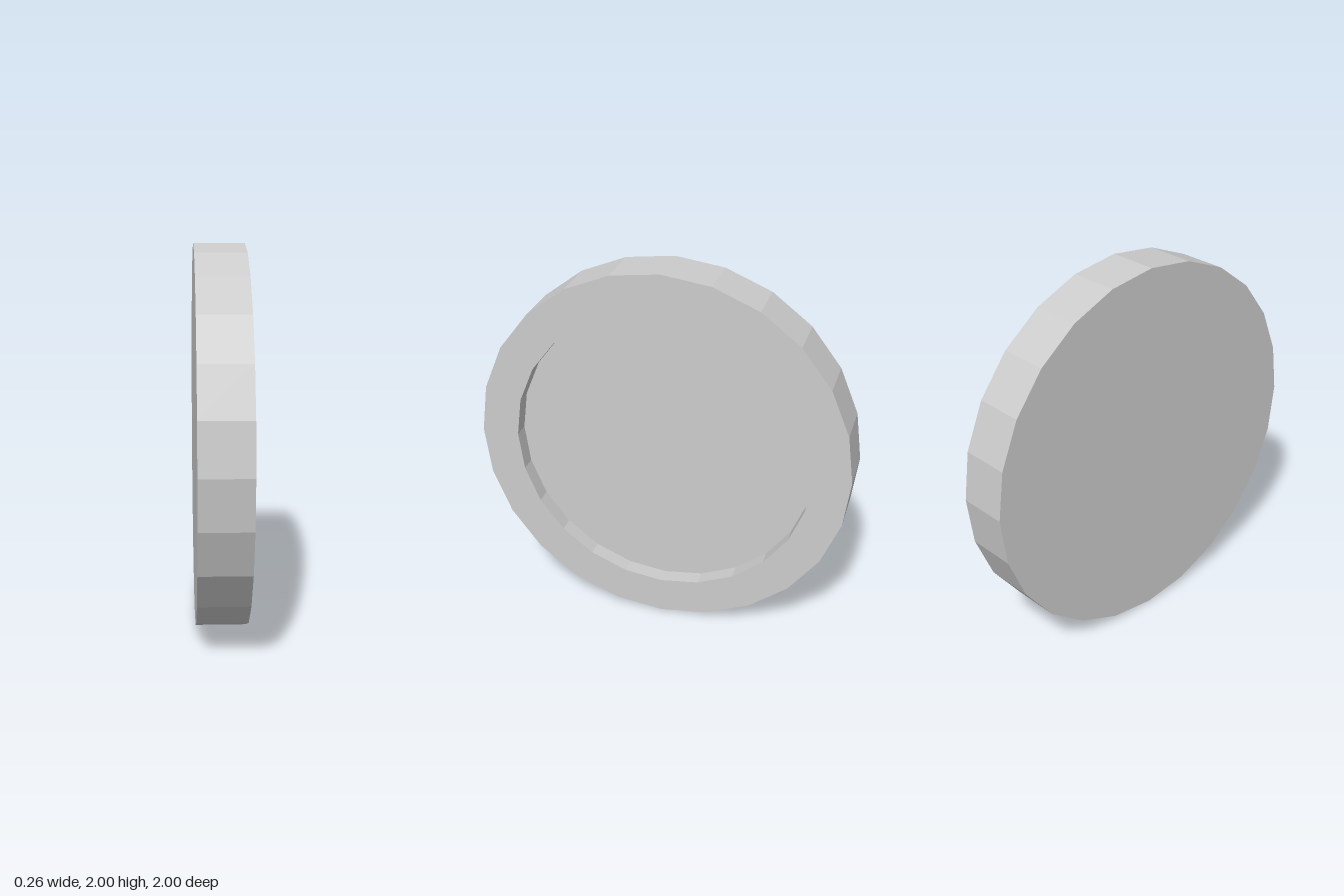
import * as THREE from 'three';

const SIDES = 24;
const HALF = 0.132;   // half thickness
const FLOOR = 0.044;  // height of the recessed face

export function createModel() {
  const group = new THREE.Group();
  group.name = 'recessedDisc';
  const material = new THREE.MeshStandardMaterial({ color: 0xcccccc, flatShading: true });

  // Each part is a faceted lathe, turned so its axis lies along x
  const addPart = (name, profile) => {
    const points = profile.map(([r, h]) => new THREE.Vector2(r, h));
    const geometry = new THREE.LatheGeometry(points, SIDES).toNonIndexed();
    geometry.computeVertexNormals();
    geometry.rotateZ(-Math.PI / 2);
    geometry.translate(0, 1, 0);
    const mesh = new THREE.Mesh(geometry, material);
    mesh.name = name;
    group.add(mesh);
  };

  // Flat back, outer wall, raised lip and inner wall
  addPart('rim', [[0, -HALF], [1, -HALF], [1, HALF], [0.8, HALF], [0.8, FLOOR]]);
  // Sunken face inside the lip
  addPart('recessFloor', [[0.8, FLOOR], [0, FLOOR]]);

  return group;
}
